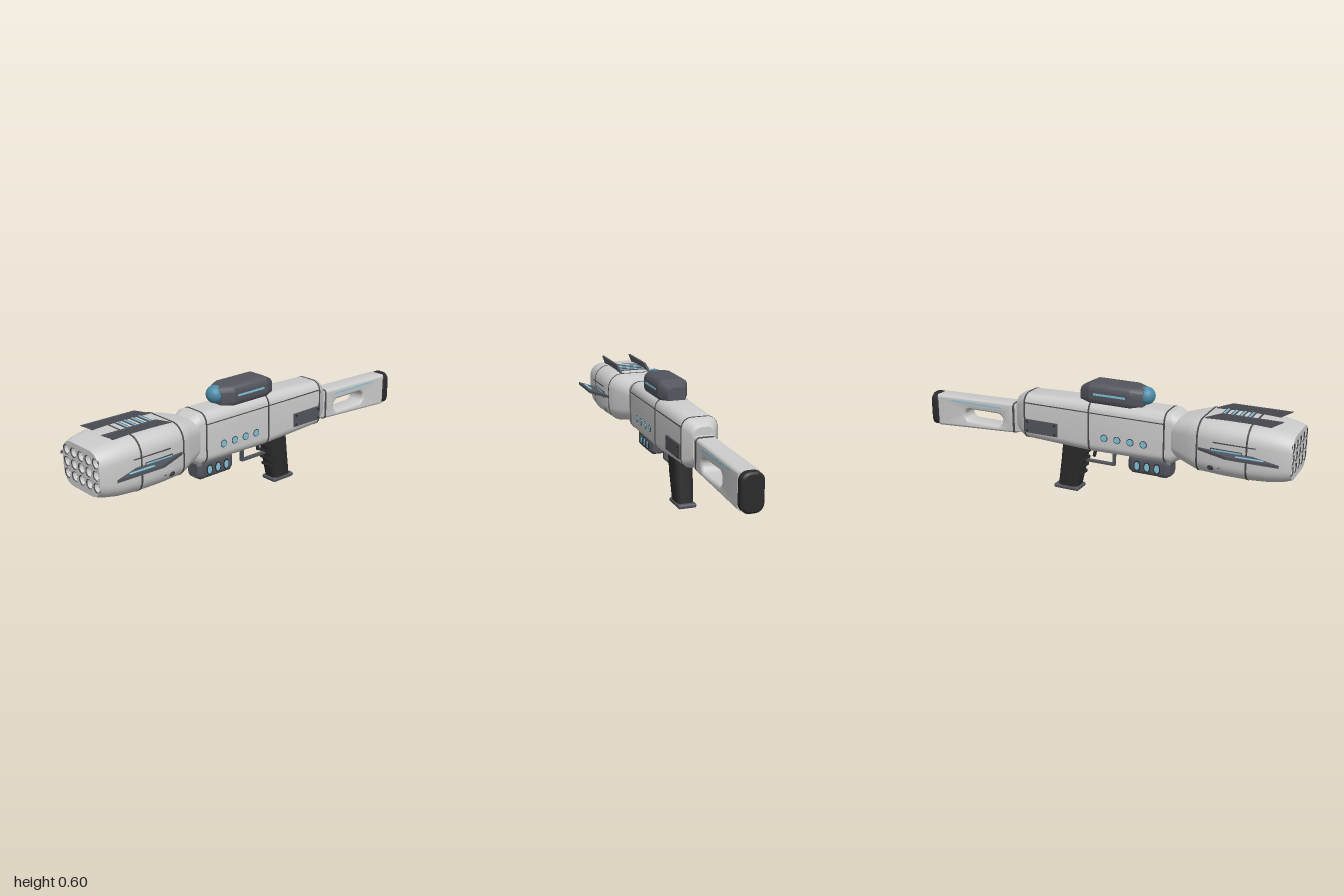
import * as THREE from 'three';
import { toCreasedNormals } from 'three/addons/utils/BufferGeometryUtils.js';
import { RoundedBoxGeometry } from 'three/addons/geometries/RoundedBoxGeometry.js';

const mat = (color) => new THREE.MeshStandardMaterial({ color });
const LIGHT = mat(0xcccccc), DARK = mat(0x53555d), BLACK = mat(0x2b2b2b), SEAM = mat(0x4a4b4e),
  CYAN = mat(0x7fc4dd), LENS = mat(0x4b8aa6);

// Rounded rectangle outline, counter-clockwise seen from +z
function outline([, hw, y0, y1, r], n = 8) {
  const pts = [];
  const corners = [[hw - r, y1 - r], [r - hw, y1 - r], [r - hw, y0 + r], [hw - r, y0 + r]];
  corners.forEach(([cx, cy], c) => {
    for (let i = 0; i <= n; i++) {
      const a = (c + i / n) * Math.PI / 2;
      pts.push([cx + r * Math.cos(a), cy + r * Math.sin(a)]);
    }
  });
  return pts;
}

// Skin through sections [z, halfWidth, bottom, top, cornerRadius], z rising
function loft(sections, { front = true, crease = 0.45 } = {}) {
  const rings = sections.map((s) => outline(s).map(([x, y]) => [x, y, s[0]]));
  const pos = [], n = rings[0].length;
  const tri = (a, b, c) => pos.push(...a, ...b, ...c);
  const mid = (s) => [0, (s[2] + s[3]) / 2, s[0]];
  const last = rings.length - 1;
  for (let i = 0; i < n; i++) {
    const j = (i + 1) % n;
    for (let k = 0; k < last; k++) {
      const a = rings[k], b = rings[k + 1];
      tri(a[i], a[j], b[j]);
      tri(a[i], b[j], b[i]);
    }
    tri(mid(sections[0]), rings[0][j], rings[0][i]);
    if (front) tri(mid(sections[last]), rings[last][i], rings[last][j]);
  }
  const g = new THREE.BufferGeometry();
  g.setAttribute('position', new THREE.Float32BufferAttribute(pos, 3));
  return toCreasedNormals(g, crease);
}

// Section of a loft at height z, grown outwards by g
function sectionAt(sections, z, g) {
  let k = 0;
  while (k < sections.length - 2 && sections[k + 1][0] < z) k++;
  const a = sections[k], b = sections[k + 1], t = (z - a[0]) / (b[0] - a[0]);
  const s = a.map((v, i) => v + (b[i] - v) * t);
  return [z, s[1] + g, s[2] - g, s[3] + g, s[4] + g];
}

// Outline in (z, y), extruded along x and centred on x = 0
function sidePlate(shape, width, bevel = 0) {
  const g = new THREE.ExtrudeGeometry(shape, {
    depth: width - 2 * bevel, bevelEnabled: bevel > 0, bevelThickness: bevel,
    bevelSize: bevel, bevelOffset: -bevel, bevelSegments: 5, curveSegments: 12,
  });
  g.translate(0, 0, bevel - width / 2).rotateY(-Math.PI / 2);
  return toCreasedNormals(g, 0.5);
}
const polygon = (pts) => new THREE.Shape(pts.map(([x, y]) => new THREE.Vector2(x, y)));

export function createModel() {
  const root = new THREE.Group();
  const add = (name, geometry, material, x = 0, y = 0, z = 0) => {
    const m = new THREE.Mesh(geometry, material);
    m.name = name;
    m.position.set(x, y, z);
    root.add(m);
    return m;
  };
  const box = (name, material, w, h, d, x, y, z) => add(name, new THREE.BoxGeometry(w, h, d), material, x, y, z);
  const disc = (name, material, r, w, x, y, z) =>
    add(name, new THREE.CylinderGeometry(r, r, w, 24).rotateZ(Math.PI / 2), material, x, y, z);
  const seam = (sections, z, w = 0.008) =>
    add('panelSeam', loft([sectionAt(sections, z - w / 2, 0.0015), sectionAt(sections, z + w / 2, 0.0015)]), SEAM);

  // Main body
  const body = [[-0.46, 0.055, 0.29, 0.465, 0.045], [-0.44, 0.066, 0.27, 0.482, 0.05],
    [-0.40, 0.088, 0.258, 0.497, 0.05], [-0.03, 0.09, 0.243, 0.508, 0.05],
    [0.40, 0.09, 0.25, 0.508, 0.05], [0.445, 0.078, 0.275, 0.485, 0.05]];
  add('body', loft(body), LIGHT);
  [-0.395, -0.03, 0.37].forEach((z) => seam(body, z));

  // Launcher pod, open at the front for the tube plate
  const pod = [[0.405, 0.088, 0.29, 0.48, 0.06], [0.50, 0.133, 0.27, 0.505, 0.07],
    [0.555, 0.157, 0.26, 0.516, 0.075], [0.68, 0.166, 0.256, 0.52, 0.078], [0.80, 0.168, 0.256, 0.52, 0.078],
    [0.90, 0.164, 0.262, 0.515, 0.078], [0.97, 0.152, 0.273, 0.504, 0.075], [1.0, 0.142, 0.283, 0.495, 0.07]];
  add('pod', loft(pod, { front: false, crease: 0.6 }), LIGHT);
  [0.56, 0.80].forEach((z) => seam(pod, z));

  // Tube plate with launch tubes
  const face = polygon(outline([0, 0.142, 0.283, 0.495, 0.07]));
  for (let i = -2; i <= 2; i++) for (let j = -1; j <= 1; j++) {
    const x = i * 0.0565, y = 0.39 + j * 0.056;
    face.holes.push(new THREE.Path().absarc(x, y, 0.024, 0, Math.PI * 2, true));
    add('tubeRim', new THREE.TorusGeometry(0.0235, 0.0028, 8, 28), SEAM, x, y, 0.997);
    add('tubeEnd', new THREE.CircleGeometry(0.025, 28), CYAN, x, y, 0.972);
  }
  add('tubePlate', new THREE.ExtrudeGeometry(face, { depth: 0.03, bevelEnabled: false, curveSegments: 14 }), LIGHT, 0, 0, 0.97);

  // Shoulder stock with a slot through it
  const stock = polygon([[-0.44, 0.428], [-0.50, 0.42], [-0.962, 0.408], [-0.962, 0.236], [-0.50, 0.262], [-0.44, 0.272]]);
  const slot = new THREE.Path();
  slot.absarc(-0.585, 0.32, 0.033, -Math.PI / 2, Math.PI / 2, false);
  slot.absarc(-0.752, 0.32, 0.033, Math.PI / 2, Math.PI * 1.5, false);
  stock.holes.push(slot);
  add('stock', sidePlate(stock, 0.1, 0.016), LIGHT);
  add('stockCollar', loft([[-0.49, 0.0515, 0.26, 0.424, 0.022], [-0.478, 0.0515, 0.262, 0.425, 0.022]]), SEAM);
  add('buttPad', loft([[-1.0, 0.044, 0.243, 0.403, 0.034], [-0.992, 0.053, 0.234, 0.412, 0.04],
    [-0.962, 0.053, 0.234, 0.412, 0.04], [-0.954, 0.046, 0.241, 0.405, 0.035]]), BLACK);

  // Pistol grip, foot and finger ridges
  add('grip', loft([[0.01, 0.042, 0.125, 0.238, 0.025], [0.15, 0.047, 0.095, 0.218, 0.027],
    [0.27, 0.047, 0.07, 0.205, 0.027]]).rotateX(-Math.PI / 2), BLACK);
  add('gripFoot', new RoundedBoxGeometry(0.094, 0.022, 0.14, 3, 0.009), DARK, 0, 0.011, -0.185);
  for (let i = 0; i < 4; i++) {
    const y = 0.095 + i * 0.04;
    box('gripRidge', BLACK, 0.068, 0.013, 0.02, 0, y, -0.108 + (y - 0.095) * 0.21);
  }

  // Trigger and guard
  box('triggerGuard', DARK, 0.022, 0.01, 0.165, 0, 0.167, -0.008);
  box('guardPost', DARK, 0.022, 0.09, 0.01, 0, 0.207, 0.07);
  box('trigger', BLACK, 0.014, 0.06, 0.013, 0, 0.222, -0.037).rotation.x = 0.2;

  // Forward underslung module
  add('underModule', loft([[0.165, 0.036, 0.168, 0.243, 0.02], [0.185, 0.048, 0.157, 0.254, 0.026],
    [0.365, 0.048, 0.157, 0.254, 0.026], [0.385, 0.036, 0.168, 0.243, 0.02]]), DARK);
  box('moduleMount', LIGHT, 0.06, 0.03, 0.17, 0, 0.25, 0.275);
  box('moduleFoot', DARK, 0.022, 0.012, 0.03, 0, 0.153, 0.33);

  // Sight on top with its lens
  add('sight', loft([[-0.095, 0.045, 0.49, 0.57, 0.025], [-0.035, 0.077, 0.49, 0.6, 0.035],
    [0.18, 0.077, 0.49, 0.6, 0.035], [0.24, 0.046, 0.49, 0.592, 0.03]]), DARK);
  add('sightLens', new THREE.SphereGeometry(0.044, 32, 20), LENS, 0, 0.555, 0.24);

  // Slats between the top fins
  for (let i = 0; i < 4; i++) {
    const z = 0.635 + i * 0.041;
    box('slat', DARK, 0.15, 0.008, 0.022, 0, 0.519, z);
    box('slatLight', CYAN, 0.14, 0.008, 0.009, 0, 0.5205, z);
  }

  // Mirrored details
  for (const s of [-1, 1]) {
    const fin = polygon([[0.14 * s, 0.55], [0.157 * s, 0.565], [0.223 * s, 0.72], [0.223 * s, 0.965], [0.165 * s, 0.82], [0.14 * s, 0.80]]);
    const finGeo = new THREE.ExtrudeGeometry(fin, { depth: 0.014, bevelEnabled: false }).rotateX(Math.PI / 2);
    add('sideFin', finGeo, DARK, 0, 0.397, 0);
    box('sideFinLight', CYAN, 0.012, 0.018, 0.13, 0.205 * s, 0.39, 0.825);
    box('podPanel', SEAM, 0.006, 0.034, 0.15, 0.166 * s, 0.39, 0.705);
    box('podPanelFace', LIGHT, 0.006, 0.026, 0.142, 0.1672 * s, 0.39, 0.705);
    box('podPanelLight', CYAN, 0.008, 0.006, 0.13, 0.1675 * s, 0.4, 0.705);

    const topFin = polygon([[0.57, 0.505], [0.57, 0.518], [0.65, 0.549], [0.94, 0.549], [0.89, 0.52], [0.88, 0.505]]);
    add('topFin', sidePlate(topFin, 0.012), DARK, 0.08 * s, 0, 0);

    for (let i = 0; i < 4; i++) {
      // Pod vents and body lamps
      const vz = 0.63 + i * 0.045, lz = 0.055 + i * 0.07;
      disc('podVent', SEAM, 0.015, 0.012, 0.152 * s, 0.307, vz).rotation.z = -0.45 * s;
      disc('podVentCore', DARK, 0.011, 0.014, 0.152 * s, 0.307, vz).rotation.z = -0.45 * s;
      disc('bodyLampRim', SEAM, 0.019, 0.008, 0.088 * s, 0.335, lz);
      disc('bodyLamp', CYAN, 0.015, 0.01, 0.0885 * s, 0.335, lz);
    }
    for (let i = 0; i < 3; i++) {
      const z = 0.215 + i * 0.053;
      disc('moduleWindowRim', BLACK, 0.018, 0.006, 0.047 * s, 0.203, z).scale.y = 1.5;
      disc('moduleWindow', CYAN, 0.013, 0.008, 0.047 * s, 0.203, z).scale.y = 1.6;
    }

    // Rear side plate with bolts
    box('sidePlate', DARK, 0.012, 0.07, 0.183, 0.091 * s, 0.335, -0.297);
    for (const dy of [-0.024, 0.024]) for (const dz of [-0.078, 0.078])
      disc('bolt', BLACK, 0.006, 0.006, 0.097 * s, 0.335 + dy, -0.297 + dz);

    // Light strips and long seams
    box('sightStrip', CYAN, 0.006, 0.01, 0.17, 0.0755 * s, 0.549, 0.075);
    box('stockStrip', CYAN, 0.006, 0.007, 0.305, 0.0425 * s, 0.389, -0.71).position.x = 0.048 * s;
    box('bodySeam', SEAM, 0.004, 0.005, 0.76, 0.0885 * s, 0.455, -0.01);
    box('podSeam', SEAM, 0.004, 0.005, 0.2, 0.1665 * s, 0.435, 0.74);
  }
  return root;
}
